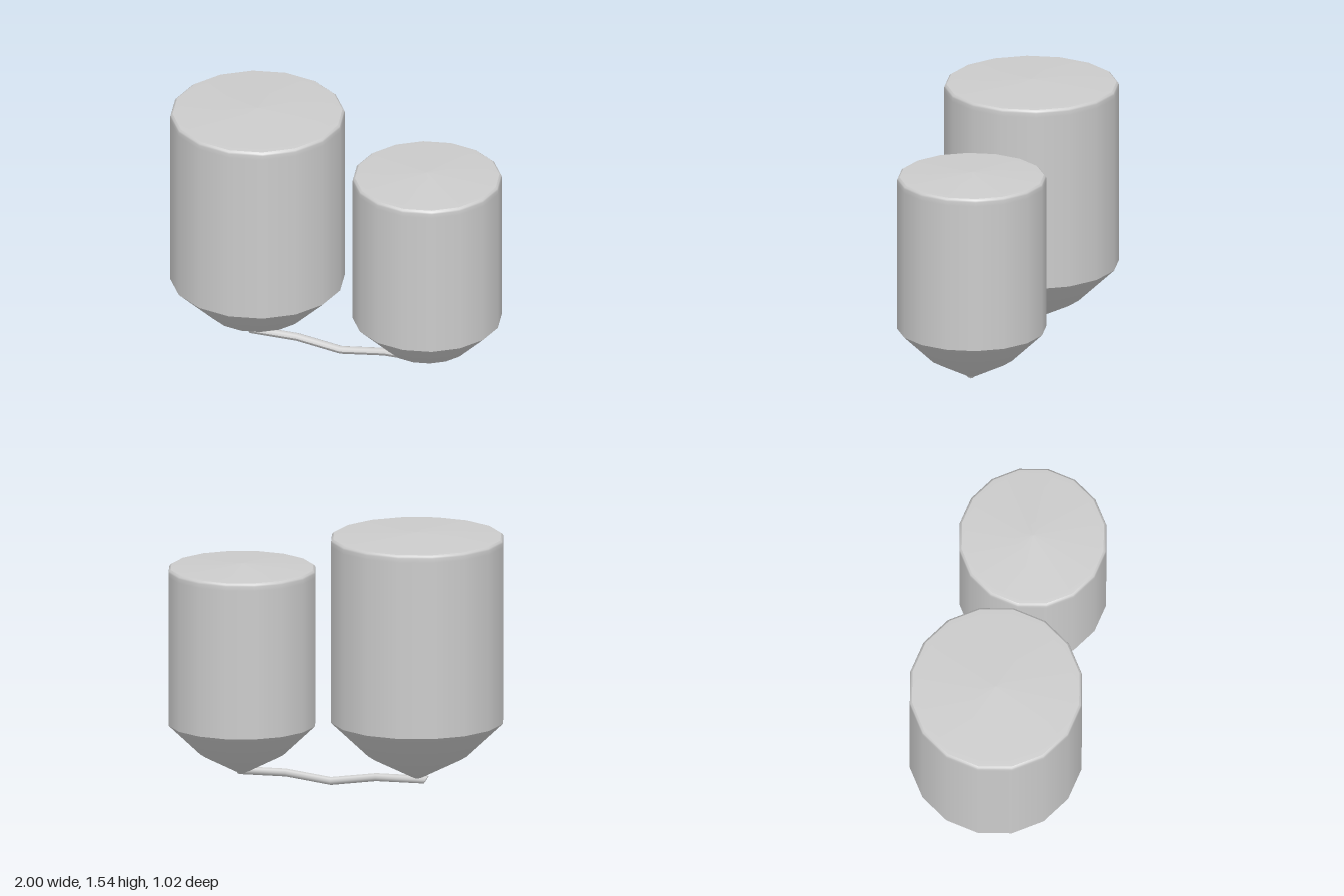
import * as THREE from 'three';

const material = new THREE.MeshStandardMaterial({ color: 0xcccccc, side: THREE.DoubleSide });

// Turns a [radius, height] profile into a 16-sided surface.
function lathe(name, profile) {
  const points = profile.map(([r, y]) => new THREE.Vector2(r, y));
  const mesh = new THREE.Mesh(new THREE.LatheGeometry(points, 16), material);
  mesh.name = name;
  return mesh;
}

// Upright hopper tank: two-slope funnel, straight wall, shallow conical lid.
function createTank(name, x, radius, tip, kink, shoulder, rim) {
  const tank = new THREE.Group();
  tank.name = name;
  tank.position.x = x;
  tank.add(
    lathe('funnel', [[0, tip], [radius * 0.57, kink], [radius, shoulder]]),
    lathe('wall', [
      [radius, shoulder], [radius, rim - 0.04], [radius, rim - 0.015],
      [radius - 0.004, rim - 0.005], [radius - 0.014, rim + 0.003],
    ]),
    lathe('lid', [[radius - 0.014, rim + 0.003], [radius * 0.9, rim + 0.006], [0, rim + 0.027]]),
  );
  return tank;
}

// Bent pipe joining the funnel tips, with slanted ends.
function createPipe() {
  const path = [[-0.54, 0.062], [-0.24, 0.062], [0.03, 0.025], [0.3, 0.062], [0.595, 0.062]];
  const slant = [-0.6, 0, 0, 0, 0.6];
  const geometry = new THREE.CylinderGeometry(0.024, 0.024, 1, 8, 4).rotateZ(-Math.PI / 2);
  const p = geometry.attributes.position;
  for (let i = 0; i < p.count; i++) {
    const k = Math.round((p.getX(i) + 0.5) * 4);
    const offset = p.getY(i);
    p.setXY(i, path[k][0] + slant[k] * offset, path[k][1] + offset);
  }
  geometry.computeVertexNormals();
  const pipe = new THREE.Mesh(geometry, material);
  pipe.name = 'connectingPipe';
  return pipe;
}

export function createModel() {
  const model = new THREE.Group();
  model.name = 'twinTanks';
  model.add(
    createTank('largeTank', -0.488, 0.512, 0.06, 0.21, 0.42, 1.518),
    createTank('smallTank', 0.563, 0.437, 0.037, 0.167, 0.347, 1.278),
    createPipe(),
  );
  return model;
}
